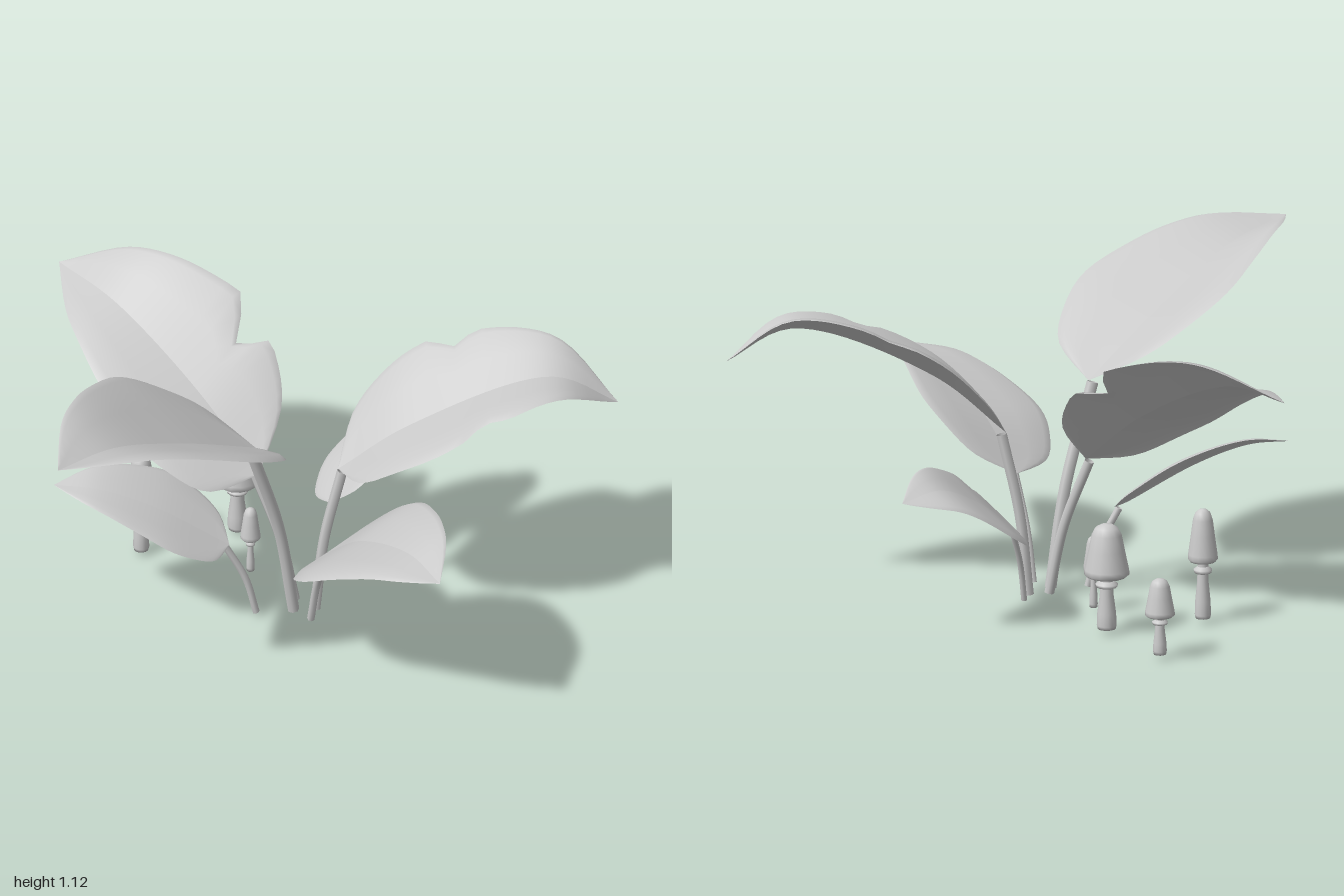
import * as THREE from 'three';

const grey = new THREE.MeshStandardMaterial({ color: 0xcccccc });
const leafGrey = new THREE.MeshStandardMaterial({ color: 0xcccccc, side: THREE.DoubleSide });

const vec = (p) => new THREE.Vector3(...p);
const curve = (pts) => new THREE.CatmullRomCurve3(pts.map(vec), false, 'centripetal');

// Shared leaf outline: position along the midrib, relative half width
const outline = new THREE.SplineCurve(
  [[0, 0], [0.07, 0.6], [0.2, 0.88], [0.36, 1], [0.55, 0.86], [0.7, 0.68], [0.84, 0.44], [1, 0]]
    .map((p) => new THREE.Vector2(...p)),
);

// Torn edge: the half width dips around one place on the rim
const tear = (t, [at, depth]) => 1 - depth * Math.max(0, 1 - Math.abs(t - at) / 0.08);

// Blade spread from a creased midrib along two side vectors, with a turned-down rim
function bladeGeometry(rib, sides, tears) {
  const stations = [[0, 1], [0, 0.87], [0, 0.5], [0, 0], [1, 0], [1, 0.5], [1, 0.87], [1, 1]];
  const rows = 28, n = stations.length, pos = [], index = [];
  for (let r = 0; r <= rows; r++) {
    const { x: t, y: width } = outline.getPoint(r / rows);
    const m = rib.getPointAt(THREE.MathUtils.clamp(t, 0, 1));
    for (const [i, k] of stations) {
      const w = width * tear(t, tears[i]);
      const p = m.clone().addScaledVector(sides[i], w * k);
      const lift = k === 0.87 ? 0.06 : k === 0.5 ? 0.03 : 0;
      pos.push(p.x, p.y + lift * w * sides[i].length(), p.z);
    }
  }
  for (let r = 0; r < rows; r++) {
    for (const c of [0, 1, 2, 4, 5, 6]) {
      const a = r * n + c, b = a + 1, d = a + n, f = d + 1;
      index.push(a, b, d, b, f, d);
    }
  }
  const g = new THREE.BufferGeometry();
  g.setAttribute('position', new THREE.Float32BufferAttribute(pos, 3));
  g.setIndex(index);
  g.computeVertexNormals();
  return g;
}

// Leaf: stem foot, midrib points, and the widest reach to its left and right, seen from base to tip
function buildLeaf({ name, radius, foot, mid, left, right, tearLeft = [0, 0], tearRight = [0, 0] }) {
  const leaf = new THREE.Group();
  leaf.name = name;
  const blade = new THREE.Mesh(bladeGeometry(curve(mid), [vec(left), vec(right)], [tearLeft, tearRight]), leafGrey);
  blade.name = 'blade';
  // the stem rises steeply, leans out and stops just under the start of the blade
  const bend = foot.map((v, i) => THREE.MathUtils.lerp(v, mid[0][i], i === 1 ? 0.5 : 0.4));
  const end = vec(mid[0]).lerp(vec(mid[1]), 0.06).toArray();
  end[1] -= radius;
  const stem = new THREE.Mesh(new THREE.TubeGeometry(curve([foot, bend, end]), 14, radius, 7), leafGrey);
  stem.name = 'stem';
  leaf.add(stem, blade);
  return leaf;
}

// Mushroom with a waisted stalk, a ring and a tall bell cap
function buildMushroom(x, z, top, capBottom, capRadius, stalkRadius) {
  const mushroom = new THREE.Group();
  mushroom.name = 'mushroom';
  const lathe = (name, pts) => {
    const m = new THREE.Mesh(new THREE.LatheGeometry(pts.map((p) => new THREE.Vector2(...p)), 14), grey);
    m.name = name;
    mushroom.add(m);
  };
  const s = stalkRadius, h = capBottom - 0.02;
  lathe('stalk', [[0, 0], [s * 0.9, 0], [s, 0.012], [s * 0.95, h * 0.3], [s * 0.7, h * 0.65], [s * 0.65, h + 0.02]]);
  lathe('ring', [[s * 0.6, h * 0.78], [s * 1.05, h * 0.8], [s * 1.15, h * 0.86], [s * 0.6, h * 0.92]]);
  const c = (r, t) => [capRadius * r, h + (top - capBottom) * t];
  lathe('cap', [c(0, 0.03), c(0.85, 0), c(1, 0.05), c(0.98, 0.14), c(0.8, 0.5), c(0.66, 0.8), c(0.5, 0.93), c(0.25, 0.99), c(0, 1)]);
  mushroom.position.set(x, 0.02, z);
  return mushroom;
}

export function createModel() {
  const model = new THREE.Group();
  model.name = 'leafyPlantWithMushrooms';

  model.add(buildLeaf({
    name: 'frontLeaf', radius: 0.02, foot: [0.1, 0.02, -0.16],
    mid: [[0.06, 0.71, -0.02], [0.06, 0.89, 0.32], [0.06, 1.04, 0.67], [0.06, 1.08, 0.935]],
    left: [0.32, 0.07, 0], right: [-0.32, 0.12, 0],
  }));
  model.add(buildLeaf({
    name: 'rightSideLeaf', radius: 0.017, foot: [0.06, 0.02, -0.21],
    mid: [[-0.05, 0.49, -0.15], [-0.31, 0.69, -0.15], [-0.7, 0.87, -0.16], [-1, 0.88, -0.2]],
    left: [0, -0.1, 0.28], right: [0, 0.18, -0.29], tearRight: [0.31, 0.42],
  }));
  model.add(buildLeaf({
    name: 'backLeftLeaf', radius: 0.018, foot: [0.13, 0.005, -0.235],
    mid: [[0.19, 0.56, -0.28], [0.38, 0.75, -0.43], [0.7, 0.92, -0.77], [0.85, 0.81, -0.93]],
    left: [-0.19, 0.12, -0.18], right: [0.2, 0.01, 0.18], tearLeft: [0.45, 0.2], tearRight: [0.53, 0.2],
  }));
  model.add(buildLeaf({
    name: 'leftSideLeaf', radius: 0.013, foot: [0.18, 0.02, -0.16],
    mid: [[0.3, 0.36, -0.11], [0.5, 0.52, -0.06], [0.8, 0.64, 0.02], [0.99, 0.64, 0.08]],
    left: [0.05, 0.07, -0.22], right: [-0.03, -0.05, 0.26],
  }));
  model.add(buildLeaf({
    name: 'frontRightLeaf', radius: 0.012, foot: [0.02, 0.02, -0.065],
    mid: [[-0.04, 0.29, 0], [-0.22, 0.44, 0.17], [-0.36, 0.51, 0.3], [-0.47, 0.52, 0.39]],
    left: [0.09, -0.05, 0.11], right: [-0.1, 0.06, -0.12],
  }));
  model.add(buildLeaf({
    name: 'backLeaf', radius: 0.01, foot: [0.06, 0.02, -0.33],
    mid: [[0.03, 0.29, -0.41], [0.01, 0.42, -0.6], [0.02, 0.5, -0.78], [0.05, 0.48, -0.93]],
    left: [-0.15, -0.09, 0], right: [0.15, 0.08, 0], tearRight: [0.25, 0.25],
  }));

  for (const m of [
    [-0.705, -0.49, 0.28, 0.15, 0.05, 0.023],
    [-0.515, -0.08, 0.395, 0.215, 0.05, 0.027],
    [-0.37, -0.39, 0.38, 0.2, 0.076, 0.033],
    [-0.165, -0.235, 0.265, 0.145, 0.034, 0.014],
  ]) model.add(buildMushroom(...m));
  return model;
}
